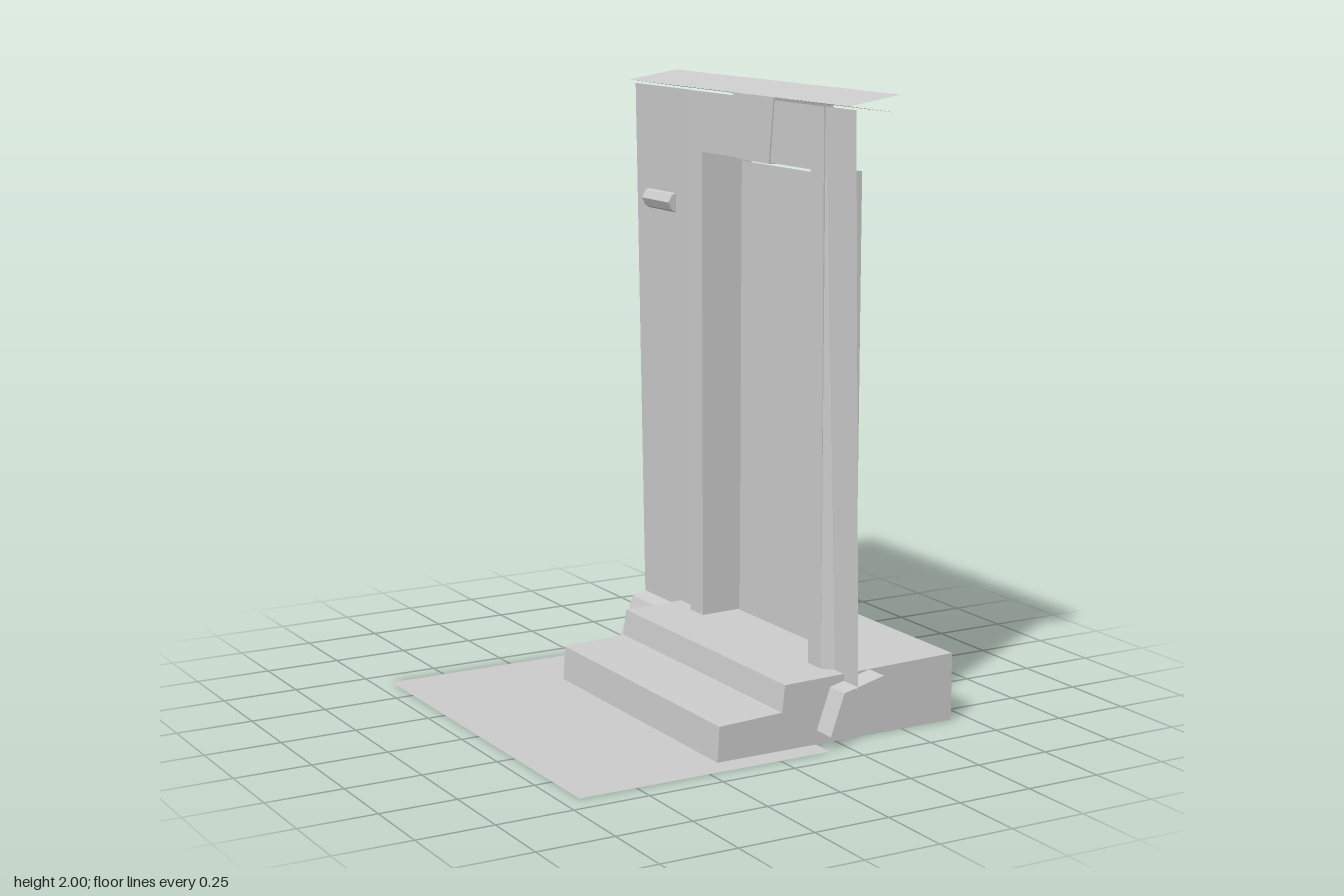
import * as THREE from 'three';

const material = new THREE.MeshStandardMaterial({
  color: 0xcccccc, flatShading: true, side: THREE.DoubleSide,
});

// Thin surface lofted between rows of points; every row has the same length.
function loft(name, rows) {
  const points = rows.flat(), n = rows[0].length, index = [];
  for (let r = 0; r < rows.length - 1; r++) {
    for (let i = 0; i < n - 1; i++) {
      const a = r * n + i, b = a + 1, c = a + n, d = c + 1;
      index.push(a, b, d, a, d, c);
    }
  }
  const indexed = new THREE.BufferGeometry();
  indexed.setAttribute('position', new THREE.Float32BufferAttribute(points.flat(), 3));
  indexed.setIndex(index);
  const geometry = indexed.toNonIndexed();
  geometry.computeVertexNormals();
  const mesh = new THREE.Mesh(geometry, material);
  mesh.name = name;
  return mesh;
}

// Open profile of [x, y] points swept along z.
const sweep = (name, profile, z0, z1) =>
  loft(name, [z0, z1].map((z) => profile.map(([x, y]) => [x, y, z])));

// Flat end cap in an x-y plane at the given z.
function endCap(name, profile, z) {
  const shape = new THREE.Shape(profile.map(([x, y]) => new THREE.Vector2(x, y)));
  const mesh = new THREE.Mesh(new THREE.ShapeGeometry(shape), material);
  mesh.position.z = z;
  mesh.name = name;
  return mesh;
}

export function createModel() {
  const model = new THREE.Group();
  const END = 0.67;                       // half length of the wall
  const WALL_TOP = 1.96, WALL_FOOT = 0.18;
  const HEAD = 1.765, DOOR_FOOT = 0.21;   // door opening
  const wallX = (y) => 0.246 + 0.034 * (WALL_TOP - y) / (WALL_TOP - WALL_FOOT);
  const frameX = (y) => 0.24 + 0.01 * (WALL_TOP - y) / (WALL_TOP - WALL_FOOT);

  // Ground in front of the steps
  model.add(sweep('ground', [[-0.69, 0], [0.18, 0]], -END, END));

  // Steps and landing, open underneath and at the inner end
  const stepLine = [[-0.175, 0], [-0.168, 0.112], [0.055, 0.122], [0.065, 0.208], [0.69, 0.22]];
  const steps = new THREE.Group();
  steps.name = 'steps';
  steps.add(sweep('treads', stepLine, -0.42, 0.59));
  for (const z of [-0.42, 0.59]) steps.add(endCap('stepSide', [...stepLine, [0.69, 0]], z));
  model.add(steps);

  // Sloping plinth and cornice, both folded strips along the wall
  model.add(sweep('plinth', [[0.182, 0.045], [0.23, 0.178], [0.375, 0.213]], -END, END));
  model.add(sweep('cornice', [[0.403, 2], [0.22, 1.972], [0.403, 1.945]], -END, END));

  // Wall panel, stepped return and frame on each side of the opening
  const sides = [
    { end: END, top: 0.505, foot: 0.54, opening: 0.43 },
    { end: -END, top: -0.305, foot: -0.33, opening: -0.22 },
  ];
  for (const s of sides) {
    const row = (y, edge) => [
      [wallX(y), y, s.end], [wallX(y), y, edge], [frameX(y), y, s.top], [frameX(y), y, s.opening],
    ];
    model.add(loft('wallAndFrame', [row(WALL_TOP, s.top), row(WALL_FOOT, s.foot)]));
    // Reveal running inwards from the frame
    model.add(loft('doorReveal', [
      [[frameX(HEAD), HEAD, s.opening], [0.43, 1.75, s.opening]],
      [[frameX(DOOR_FOOT), DOOR_FOOT, s.opening], [0.43, DOOR_FOOT, s.opening]],
    ]));
  }

  // Lintel and the underside of the door head
  model.add(sweep('lintel', [[frameX(WALL_TOP), WALL_TOP], [frameX(HEAD), HEAD], [0.43, 1.75]], -0.22, 0.43));

  // Door leaf, slightly smaller than its opening
  model.add(sweep('door', [[0.387, 0.212], [0.387, 1.73]], -0.21, 0.41));

  // Tapered keystone: front, sides and underside, open inside
  const keystone = new THREE.Group();
  keystone.name = 'keystone';
  const front = [[1.972, 0.225], [1.762, 0.2], [1.762, 0.01], [1.972, -0.02]];
  const back = [[1.972, 0.225], [1.745, 0.2], [1.745, 0.01], [1.972, -0.02]];
  const at = (x, outline) => outline.map(([y, z]) => [x, y, z]);
  keystone.add(loft('keystoneSides', [at(0.236, front), at(0.46, back)]));
  const [a, b, c, d] = at(0.236, front);
  keystone.add(loft('keystoneFront', [[a, d], [b, c]]));
  model.add(keystone);

  // Small ridged plate on the outer wall
  const plate = [[0.25, 1.548], [0.236, 1.555], [0.222, 1.582], [0.236, 1.607], [0.25, 1.612]];
  model.add(sweep('wallPlate', plate, -0.585, -0.405));
  for (const z of [-0.585, -0.405]) model.add(endCap('wallPlateEnd', plate, z));

  return model;
}
